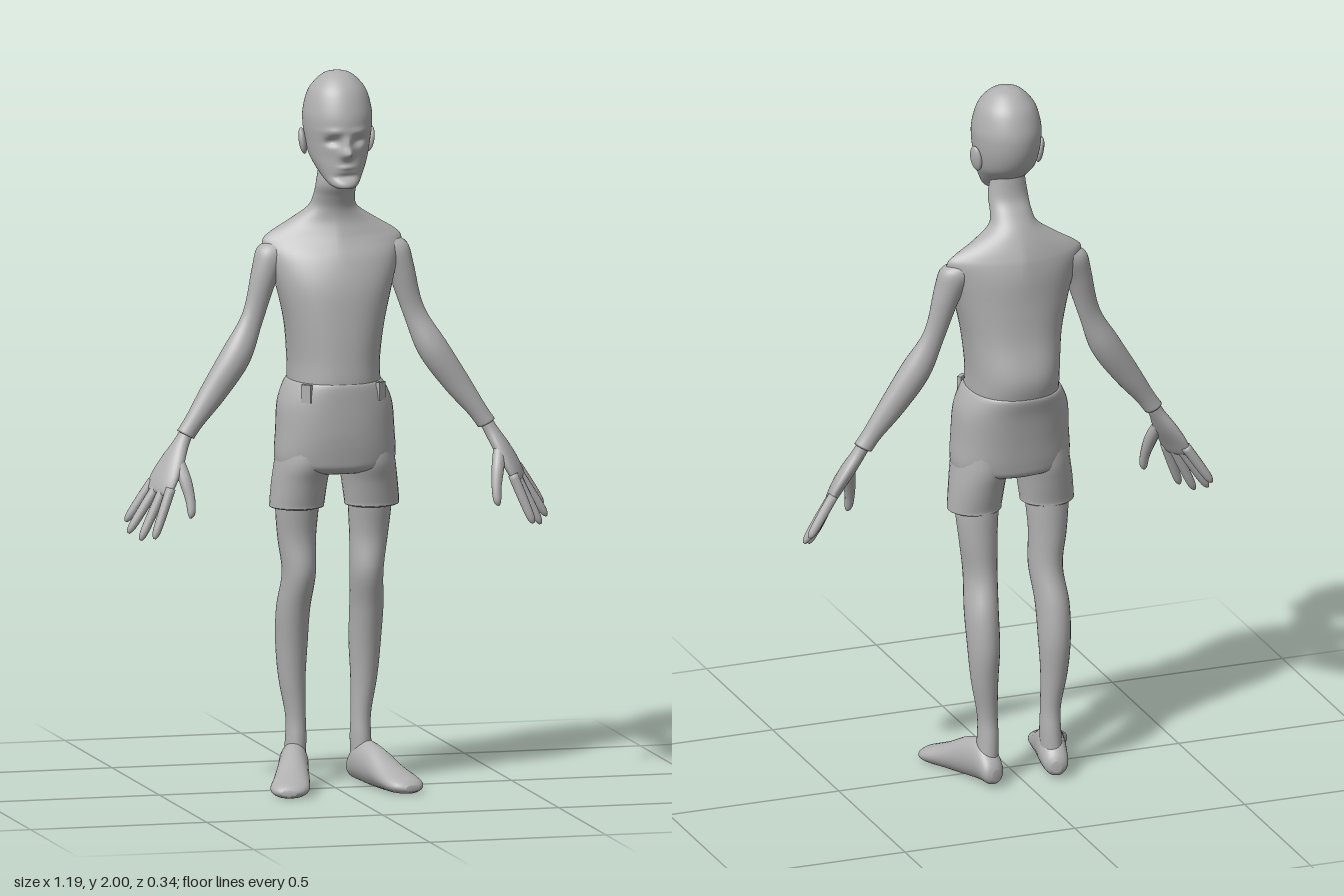
import * as THREE from 'three';

const V3 = (x, y, z) => new THREE.Vector3(x, y, z);
const skin = new THREE.MeshStandardMaterial({ color: 0xb0b0b0 });
skin.name = 'plain grey';

// Smooth blend of four numbers along a section list
function spline(a, b, c, d, t) {
  const m0 = (c - a) / 2, m1 = (d - b) / 2;
  return b + m0 * t + (3 * (c - b) - 2 * m0 - m1) * t * t + (2 * (b - c) + m0 + m1) * t * t * t;
}

// Closed skin through sections [x, y, z, radiusU, radiusV, roundness = 2]
function loft(name, sections, U, V, { segs = 28, steps = 5, rule } = {}) {
  const rows = sections.map((s) => (s.length < 6 ? [...s, 2] : s));
  const last = rows.length - 1, rings = [];
  for (let i = 0; i < last; i++) {
    for (let k = 0; k < steps; k++) {
      rings.push(rows[i].map((_, n) => spline(
        rows[Math.max(i - 1, 0)][n], rows[i][n], rows[i + 1][n], rows[Math.min(i + 2, last)][n], k / steps)));
    }
  }
  rings.push(rows[last]);
  const pos = [], index = [];
  const put = (p) => { if (rule) rule(p); pos.push(p.x, p.y, p.z); };
  const bend = (v, p) => Math.sign(v) * Math.pow(Math.abs(v), 2 / p);
  for (const [x, y, z, ru, rv, p] of rings) {
    for (let j = 0; j < segs; j++) {
      const a = (j / segs) * Math.PI * 2;
      put(V3(x, y, z).addScaledVector(U, ru * bend(Math.cos(a), p)).addScaledVector(V, rv * bend(Math.sin(a), p)));
    }
  }
  const first = rings[0], end = rings[rings.length - 1], n = rings.length * segs;
  put(V3(first[0], first[1], first[2]));
  put(V3(end[0], end[1], end[2]));
  const along = V3(end[0] - first[0], end[1] - first[1], end[2] - first[2]);
  const outward = along.dot(U.clone().cross(V)) > 0;
  const tri = (a, b, c) => (outward ? index.push(a, b, c) : index.push(a, c, b));
  for (let j = 0; j < segs; j++) {
    const k = (j + 1) % segs;
    for (let i = 0; i < rings.length - 1; i++) {
      const a = i * segs, b = a + segs;
      tri(a + j, a + k, b + k);
      tri(a + j, b + k, b + j);
    }
    tri(n, k, j);
    tri(n + 1, n - segs + j, n - segs + k);
  }
  const g = new THREE.BufferGeometry();
  g.setAttribute('position', new THREE.Float32BufferAttribute(pos, 3));
  g.setIndex(index);
  g.computeVertexNormals();
  const mesh = new THREE.Mesh(g, skin);
  mesh.name = name;
  return mesh;
}

// Upright body part from [y, halfWidth, zFront, zBack, roundness]
const upright = (name, list, opts) => loft(name,
  list.map(([y, w, f, b, p = 2]) => [0, y, (f + b) / 2, w, (f - b) / 2, p]), V3(1, 0, 0), V3(0, 0, 1), opts);

// Round tapered digit through points [x, y, z, r]
function digit(name, pts) {
  const a = V3(...pts[0]), b = V3(...pts[pts.length - 1]);
  const D = b.sub(a).normalize();
  const U = D.clone().cross(V3(0, 0, 1)).normalize();
  return loft(name, pts.map(([x, y, z, r]) => [x, y, z, r, r]), U, D.clone().cross(U), { segs: 12, steps: 4 });
}

// Facial relief: [x, y, spreadX, spreadY, depth]
const relief = [
  [0, 1.783, 0.015, 0.015, 0.036], [0, 1.81, 0.012, 0.018, 0.014],
  [0.036, 1.815, 0.018, 0.012, -0.016], [-0.036, 1.815, 0.018, 0.012, -0.016],
  [0.036, 1.843, 0.026, 0.009, 0.005], [-0.036, 1.843, 0.026, 0.009, 0.005],
  [0, 1.743, 0.022, 0.006, 0.005], [0, 1.717, 0.03, 0.009, -0.009],
];
function faceRule(p) {
  if (p.z < 0.06) return;
  const fade = Math.min((p.z - 0.06) / 0.03, 1);
  let dz = 0;
  for (const [x, y, sx, sy, d] of relief) dz += d * Math.exp(-(((p.x - x) / sx) ** 2) - ((p.y - y) / sy) ** 2);
  p.z += dz * fade;
}

function makeArm(s) {
  const arm = new THREE.Group();
  arm.name = s > 0 ? 'leftArm' : 'rightArm';
  const m = (list) => list.map(([x, ...r]) => [s * x, ...r]);
  arm.add(loft('armSleeve', m([
    [0.145, 1.51, -0.04, 0.035, 0.035], [0.172, 1.485, -0.035, 0.045, 0.042], [0.195, 1.43, -0.03, 0.038, 0.037],
    [0.229, 1.315, -0.024, 0.031, 0.024], [0.279, 1.213, -0.012, 0.042, 0.038], [0.345, 1.115, -0.005, 0.037, 0.031],
    [0.4, 1.04, 0.002, 0.027, 0.025], [0.427, 1.002, 0.004, 0.026, 0.025],
  ]), V3(s * 0.89, 0.46, 0), V3(0, 0, 1)));
  // Palm lies mostly along z, fingers fan out below
  const across = V3(-0.4, -0.15, 0.9).normalize();
  const thick = V3(0.085, -0.15, 0.025).normalize().cross(across).normalize();
  const flip = (v) => V3(s * v.x, v.y, v.z);
  arm.add(loft('palm', m([
    [0.421, 1.015, 0.004, 0.02, 0.018], [0.44, 0.98, 0.01, 0.025, 0.019], [0.466, 0.935, 0.02, 0.042, 0.021],
    [0.492, 0.89, 0.028, 0.052, 0.019], [0.51, 0.855, 0.032, 0.05, 0.015], [0.515, 0.846, 0.033, 0.038, 0.007],
  ]), flip(across), flip(thick)));
  const tips = [[0.592, 0.765, -0.015], [0.594, 0.738, 0.02], [0.568, 0.722, 0.055], [0.538, 0.73, 0.09]];
  tips.forEach((t, i) => {
    const base = V3(0.502, 0.87, 0.031).addScaledVector(across, (i - 1.5) * 0.027);
    const at = (k) => base.clone().lerp(V3(...t), k).toArray();
    arm.add(digit('finger', m([[...at(0), 0.014], [...at(0.5), 0.0135], [...at(0.88), 0.011], [...at(1), 0.004]])));
  });
  arm.add(digit('thumb', m([
    [0.458, 0.945, 0.03, 0.016], [0.445, 0.89, 0.063, 0.018], [0.435, 0.835, 0.085, 0.014],
    [0.434, 0.798, 0.096, 0.011], [0.436, 0.785, 0.099, 0.004],
  ])));
  return arm;
}

function makeLeg(s) {
  const leg = new THREE.Group();
  leg.name = s > 0 ? 'leftLeg' : 'rightLeg';
  const X = V3(1, 0, 0), Z = V3(0, 0, 1);
  // [y, x, z, halfWidth, halfDepth]
  const column = (name, list) => loft(name, list.map(([y, x, z, w, d]) => [s * x, y, z, w, d]), X, Z);
  leg.add(column('shortsLeg', [
    [1, 0.085, -0.01, 0.07, 0.095], [0.92, 0.09, -0.008, 0.077, 0.1], [0.86, 0.099, -0.012, 0.077, 0.085],
    [0.8, 0.106, -0.013, 0.076, 0.07], [0.788, 0.106, -0.014, 0.074, 0.068], [0.783, 0.105, -0.018, 0.055, 0.055],
  ]));
  leg.add(column('lowerLeg', [
    [0.88, 0.1, -0.01, 0.058, 0.062], [0.79, 0.103, -0.022, 0.06, 0.06], [0.7, 0.102, -0.03, 0.053, 0.055],
    [0.6, 0.096, -0.03, 0.046, 0.06], [0.5, 0.104, -0.06, 0.046, 0.06], [0.4, 0.104, -0.078, 0.044, 0.053],
    [0.3, 0.102, -0.08, 0.037, 0.041], [0.2, 0.093, -0.077, 0.028, 0.032], [0.13, 0.092, -0.078, 0.029, 0.037],
    [0.05, 0.097, -0.08, 0.03, 0.04],
  ]));
  // Foot runs heel to toe, turned outward with a flat sole
  leg.add(loft('foot', [
    [0.088, 0.04, -0.138, 0.014, 0.016], [0.092, 0.047, -0.122, 0.033, 0.036], [0.1, 0.066, -0.07, 0.04, 0.058],
    [0.12, 0.057, 0, 0.043, 0.055], [0.143, 0.038, 0.07, 0.05, 0.038], [0.161, 0.027, 0.12, 0.054, 0.027],
    [0.171, 0.022, 0.15, 0.043, 0.019], [0.176, 0.019, 0.166, 0.02, 0.009],
  ].map(([x, ...r]) => [s * x, ...r]), V3(0.96, 0, -0.28 * s), V3(0, 1, 0),
  { rule: (p) => { p.y = Math.max(p.y, p.z < -0.08 ? 0.014 : 0.004); } }));
  return leg;
}

export function createModel() {
  const body = new THREE.Group();
  body.name = 'standingFigure';

  body.add(upright('head', [
    [2, 0.004, 0.022, 0.014], [1.992, 0.036, 0.055, -0.02], [1.97, 0.062, 0.086, -0.05], [1.94, 0.082, 0.108, -0.073],
    [1.89, 0.094, 0.126, -0.09], [1.85, 0.094, 0.13, -0.091], [1.81, 0.089, 0.124, -0.082], [1.775, 0.082, 0.12, -0.064],
    [1.75, 0.073, 0.12, -0.036], [1.72, 0.058, 0.122, 0.002], [1.695, 0.041, 0.131, 0.04], [1.685, 0.026, 0.128, 0.07],
  ], { segs: 72, steps: 8, rule: faceRule }));

  body.add(upright('neckAndTorso', [
    [1.76, 0.045, 0.045, -0.03], [1.69, 0.056, 0.052, -0.037], [1.65, 0.058, 0.035, -0.062], [1.615, 0.07, 0.022, -0.088, 1.9],
    [1.58, 0.122, 0.022, -0.108, 1.6], [1.545, 0.18, 0.037, -0.124, 1.4], [1.52, 0.198, 0.052, -0.131, 1.45],
    [1.475, 0.185, 0.08, -0.136, 1.75], [1.4, 0.162, 0.104, -0.138, 2.1], [1.3, 0.137, 0.114, -0.146, 2.3],
    [1.2, 0.125, 0.118, -0.168, 2.3], [1.13, 0.125, 0.118, -0.155, 2.3], [1.08, 0.12, 0.1, -0.13, 2.3],
  ], { segs: 48 }));

  body.add(upright('shorts', [
    [1.142, 0.118, 0.11, -0.148, 2.3], [1.135, 0.133, 0.121, -0.16, 2.3], [1.08, 0.157, 0.121, -0.145, 2.3],
    [1, 0.164, 0.117, -0.131, 2.3], [0.93, 0.168, 0.107, -0.121, 2.3], [0.9, 0.155, 0.098, -0.112, 2.2], [0.885, 0.1, 0.07, -0.08],
  ], { segs: 48 }));

  for (const s of [1, -1]) {
    body.add(makeArm(s), makeLeg(s));

    const ear = new THREE.Mesh(new THREE.SphereGeometry(1, 20, 14), skin);
    ear.name = 'ear';
    ear.scale.set(0.011, 0.037, 0.021);
    ear.position.set(s * 0.094, 1.805, 0.005);
    ear.rotation.set(0, s * 0.35, -s * 0.15);
    body.add(ear);

    // Small tab on the waistband
    const tab = new THREE.Mesh(new THREE.BoxGeometry(0.03, 0.05, 0.012), skin);
    tab.name = 'waistTab';
    tab.position.set(s * 0.105, 1.115, 0.088);
    tab.rotation.y = s * 0.75;
    body.add(tab);
  }
  return body;
}
